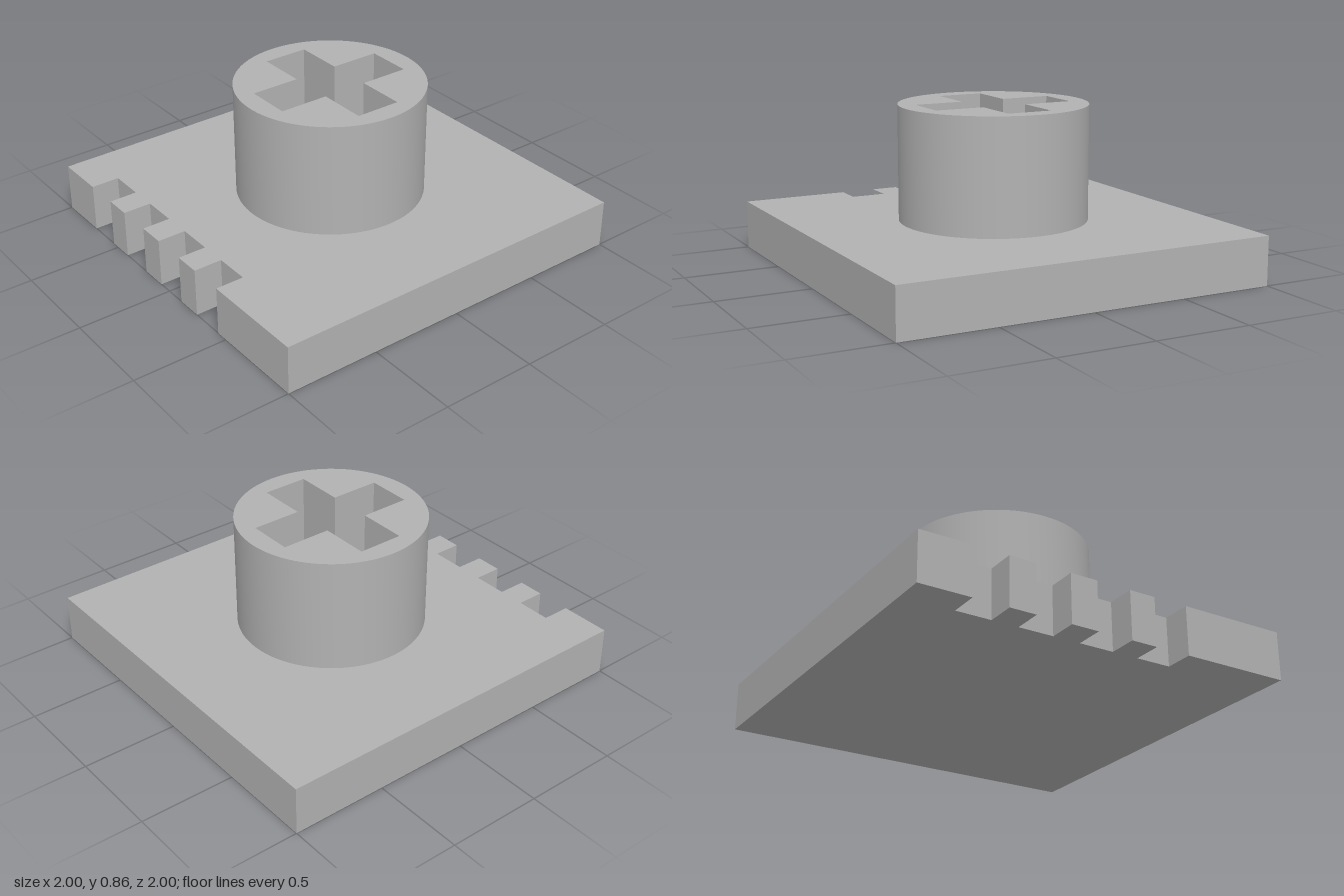
import * as THREE from 'three';
import { toCreasedNormals } from 'three/addons/utils/BufferGeometryUtils.js';

const PLATE_TOP = 0.255;
const POST_TOP = 0.855;

// Extrudes a plan outline (shape y = -z) upwards from y = 0
function extrudeUp(shape, height, curveSegments = 12) {
  const geometry = new THREE.ExtrudeGeometry(shape, { depth: height, bevelEnabled: false, curveSegments });
  geometry.rotateX(-Math.PI / 2);
  return toCreasedNormals(geometry, Math.PI / 6);
}

export function createModel() {
  const group = new THREE.Group();
  const grey = new THREE.MeshStandardMaterial({ color: 0xb2b2b2 });
  grey.name = 'grey';

  const add = (name, geometry, y) => {
    const mesh = new THREE.Mesh(geometry, grey);
    mesh.name = name;
    mesh.position.y = y;
    group.add(mesh);
  };

  // Square plate with four notches along the front edge
  const plate = new THREE.Shape();
  plate.moveTo(-1, -1);
  for (const x of [-0.73, -0.405, -0.075, 0.25]) {
    plate.lineTo(x, -1);
    plate.lineTo(x, -0.85);
    plate.lineTo(x + 0.185, -0.85);
    plate.lineTo(x + 0.185, -1);
  }
  plate.lineTo(1, -1);
  plate.lineTo(1, 1);
  plate.lineTo(-1, 1);
  plate.closePath();
  add('notchedPlate', extrudeUp(plate, PLATE_TOP), 0);

  // Round post with a cross-shaped socket that ends at the plate
  const post = new THREE.Shape();
  post.absarc(0, 0, 0.49, 0, Math.PI * 2, false);
  const a = 0.12, b = 0.382;
  const cross = [
    [a, a], [a, b], [-a, b], [-a, a], [-b, a], [-b, -a],
    [-a, -a], [-a, -b], [a, -b], [a, -a], [b, -a], [b, a],
  ];
  post.holes.push(new THREE.Path(cross.map(([x, y]) => new THREE.Vector2(x, y))));
  add('socketPost', extrudeUp(post, POST_TOP - PLATE_TOP, 64), PLATE_TOP);

  return group;
}
